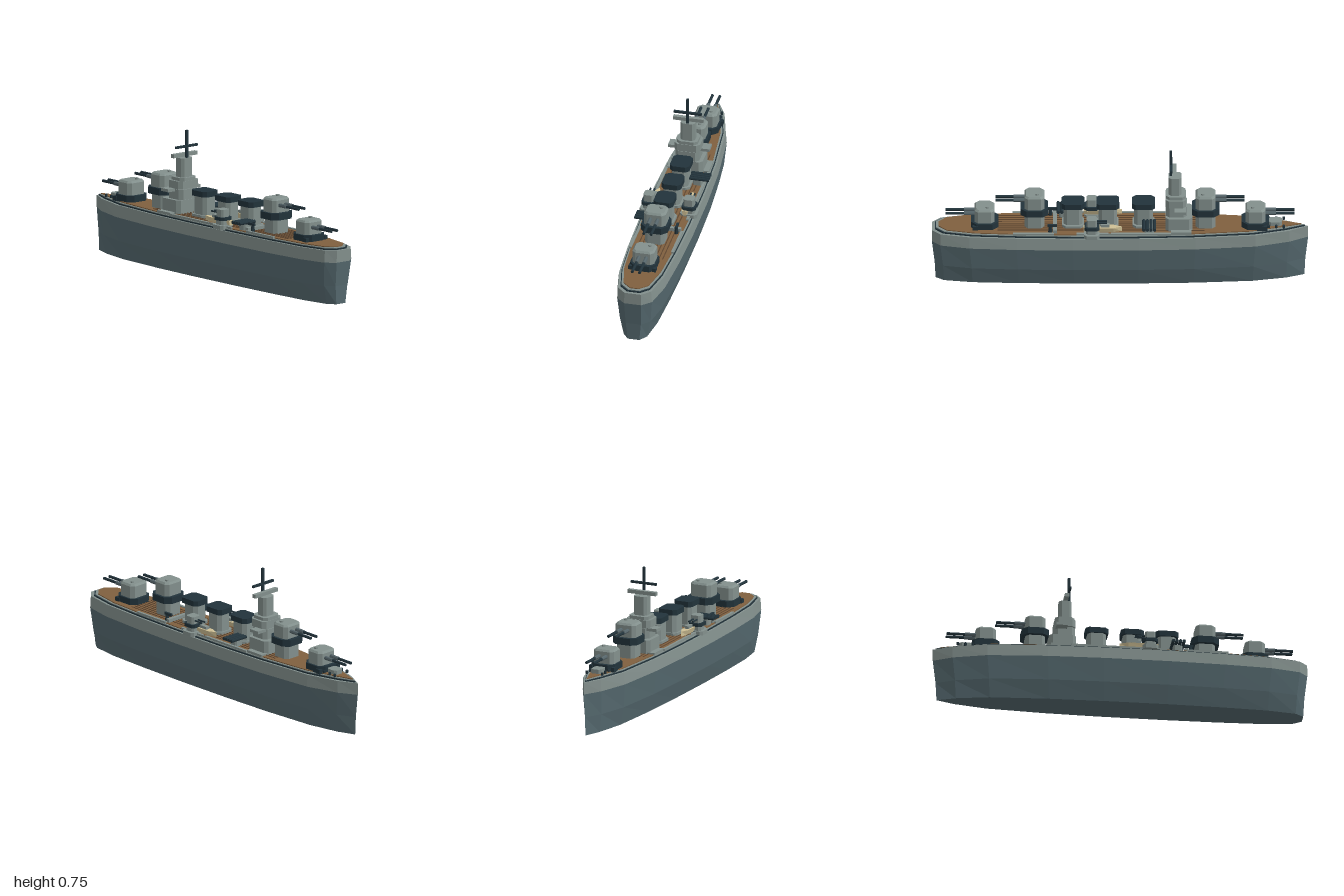
import * as THREE from 'three';

const mat = (name, color) => {
  const m = new THREE.MeshStandardMaterial({ color, flatShading: true });
  m.name = name;
  return m;
};

// Flat-shaded solid through stacked rings of [x, z] points (clockwise from above)
function loft(levels) {
  const pos = [];
  const put = (l, i) => pos.push(l.ring[i][0], l.y, l.ring[i][1]);
  const n = levels[0].ring.length;
  for (let k = 0; k + 1 < levels.length; k++) {
    const lo = levels[k], up = levels[k + 1];
    for (let i = 0; i < n; i++) {
      const j = (i + 1) % n;
      put(lo, i); put(up, i); put(up, j);
      put(lo, i); put(up, j); put(lo, j);
    }
  }
  const bottom = levels[0], top = levels[levels.length - 1];
  for (let i = 1; i + 1 < n; i++) {
    put(bottom, 0); put(bottom, i); put(bottom, i + 1);
    put(top, 0); put(top, i + 1); put(top, i);
  }
  const g = new THREE.BufferGeometry();
  g.setAttribute('position', new THREE.Float32BufferAttribute(pos, 3));
  g.computeVertexNormals();
  return g;
}

// Half outline of the hull from bow to stern
const OUTLINE = [[0, -1], [0.055, -0.9], [0.107, -0.72], [0.137, -0.4], [0.148, -0.1],
  [0.15, 0.25], [0.143, 0.55], [0.128, 0.8], [0.095, 0.955], [0.047, 1]];

function hullRing(sx, sz, inset = 0) {
  const side = OUTLINE.map(([x, z]) => [Math.max(x * sx - inset, 0), z * sz]);
  const mirror = side.slice(1).reverse().map(([x, z]) => [-x, z]);
  return [...side, ...mirror];
}

// Rectangle with cut corners, half sizes w and d
const octagon = (w, d, c) => [[w, c - d], [w, d - c], [w - c, d], [c - w, d],
  [-w, d - c], [-w, c - d], [c - w, -d], [w - c, -d]];

export function createModel() {
  const ship = new THREE.Group();
  ship.name = 'warship';
  const grey = mat('light grey', 0x83908d);
  const slate = mat('hull slate', 0x566a70);
  const dark = mat('dark navy', 0x22333b);
  const wood = mat('deck wood', 0x80603f);
  const plank = mat('plank seam', 0x5f4630);
  const gun = mat('gun steel', 0x56656a);
  const cream = mat('boat cream', 0xcfc095);

  const add = (parent, name, geo, material, x = 0, y = 0, z = 0) => {
    const m = new THREE.Mesh(geo, material);
    m.name = name;
    m.position.set(x, y, z);
    parent.add(m);
    return m;
  };
  const box = (parent, name, material, w, h, d, x, y, z) =>
    add(parent, name, new THREE.BoxGeometry(w, h, d), material, x, y, z);
  // Cut-corner block between heights y0 and y1, given half sizes
  const block = (parent, name, material, w, d, y0, y1, x = 0, z = 0, c = 0.018) =>
    add(parent, name, loft([{ y: y0, ring: octagon(w, d, c) }, { y: y1, ring: octagon(w, d, c) }]),
      material, x, 0, z);
  const group = (name, x = 0, y = 0, z = 0) => {
    const g = new THREE.Group();
    g.name = name;
    g.position.set(x, y, z);
    ship.add(g);
    return g;
  };

  // Hull, stepped edge and deck
  add(ship, 'lowerHull', loft([
    { y: 0, ring: hullRing(0.67, 0.98) },
    { y: 0.1, ring: hullRing(0.88, 0.985) },
    { y: 0.23, ring: hullRing(1, 1) }]), slate);
  add(ship, 'upperHull', loft([
    { y: 0.23, ring: hullRing(1, 1) },
    { y: 0.295, ring: hullRing(0.95, 1) }]), grey);
  const step = (name, m, y0, y1, inset) => {
    const ring = hullRing(0.95, 1 - inset * 1.6, inset);
    add(ship, name, loft([{ y: y0, ring }, { y: y1, ring }]), m);
  };
  step('deckEdge', dark, 0.29, 0.302, 0.01);
  step('waterway', grey, 0.295, 0.306, 0.014);
  step('deck', wood, 0.3, 0.311, 0.022);
  for (let i = -4; i <= 4; i++) {
    box(ship, 'plankSeam', plank, 0.005, 0.003, 1.1, i * 0.02, 0.312, 0.1);
  }
  for (const s of [-1, 1]) {
    box(ship, 'sideWalkway', grey, 0.014, 0.012, 0.5, s * 0.115, 0.311, -0.02);
    box(ship, 'aftWalkway', grey, 0.014, 0.012, 0.22, s * 0.115, 0.311, 0.46);
  }
  box(ship, 'crossWalkway', grey, 0.22, 0.02, 0.02, 0, 0.32, 0.345);

  // Main twin-gun turrets, dir = +1 aims astern, -1 aims ahead
  const turret = (z, dir, raised) => {
    const g = group(raised ? 'raisedTurret' : 'lowTurret', 0, raised ? 0.425 : 0.345, z);
    if (raised) {
      block(g, 'barbette', grey, 0.053, 0.053, -0.12, -0.03);
      block(g, 'turretRing', dark, 0.073, 0.073, -0.037, 0, 0, 0, 0.03);
    } else {
      block(g, 'turretRing', dark, 0.07, 0.073, -0.04, 0, 0, 0, 0.03);
      for (const s of [-1, 1]) box(g, 'locker', dark, 0.02, 0.025, 0.03, s * 0.065, -0.025, dir * 0.05);
    }
    add(g, 'gunHouse', loft([
      { y: 0, ring: octagon(0.06, 0.053, 0.018) },
      { y: 0.066, ring: octagon(0.06, 0.053, 0.018) },
      { y: 0.076, ring: octagon(0.051, 0.044, 0.015) }]), grey);
    add(g, 'hatch', new THREE.CylinderGeometry(0.01, 0.01, 0.01, 8), grey, 0.025, 0.079, -dir * 0.015);
    for (const s of [-1, 1]) {
      const barrel = add(g, 'barrel', new THREE.CylinderGeometry(0.008, 0.008, 0.17, 8), dark, s * 0.02, 0.04, dir * 0.122);
      barrel.rotation.x = Math.PI / 2;
      const sleeve = add(g, 'barrelSleeve', new THREE.CylinderGeometry(0.011, 0.011, 0.07, 8), gun, s * 0.02, 0.04, dir * 0.075);
      sleeve.rotation.x = Math.PI / 2;
    }
  };
  turret(0.72, 1, false);
  turret(0.455, 1, true);
  turret(-0.455, -1, true);
  turret(-0.72, -1, false);

  // Three funnels with dark caps
  for (const z of [-0.125, 0.065, 0.25]) {
    const g = group('funnel', 0, 0, z);
    block(g, 'funnelBase', grey, 0.055, 0.058, 0.305, 0.325);
    block(g, 'funnelBody', grey, 0.044, 0.05, 0.32, 0.43);
    block(g, 'funnelCap', dark, 0.053, 0.061, 0.423, 0.453);
  }

  // Bridge tower, layered upwards
  const bridge = group('bridge');
  box(bridge, 'bridgeFoundation', grey, 0.23, 0.014, 0.11, 0, 0.313, -0.325);
  block(bridge, 'bridgeBase', grey, 0.085, 0.072, 0.31, 0.385, 0, -0.313);
  block(bridge, 'bridgeMiddle', grey, 0.065, 0.056, 0.385, 0.44, 0, -0.3);
  box(bridge, 'bridgeWing', grey, 0.226, 0.016, 0.06, 0, 0.436, -0.32);
  block(bridge, 'bridgeUpper', grey, 0.07, 0.055, 0.443, 0.485, 0, -0.297);
  block(bridge, 'bridgeRoof', grey, 0.056, 0.052, 0.485, 0.502, 0, -0.297);
  block(bridge, 'tower', grey, 0.039, 0.034, 0.5, 0.605, 0, -0.293, 0.014);
  box(bridge, 'rangefinder', grey, 0.166, 0.02, 0.022, 0, 0.62, -0.29);
  box(bridge, 'mast', dark, 0.013, 0.155, 0.013, 0, 0.677, -0.27);
  box(bridge, 'yard', dark, 0.152, 0.012, 0.012, 0, 0.667, -0.272);

  // Torpedo tube banks, one on each side
  for (const [s, z] of [[1, -0.155], [-1, 0.3]]) {
    const g = group('torpedoTubes', s * 0.095, 0, z);
    block(g, 'tubeMount', grey, 0.025, 0.025, 0.305, 0.345, -s * 0.01, 0, 0.008);
    for (let i = 0; i < 4; i++) {
      const tube = add(g, 'tube', new THREE.CylinderGeometry(0.009, 0.009, 0.108, 8), dark, 0, 0.354, (i - 1.5) * 0.019);
      tube.rotation.z = Math.PI / 2;
    }
  }

  // Secondary guns and ship's boats
  const hullShape = k => [[0, -0.105], [0.02 * k, -0.06], [0.022 * k, 0.08], [0.014 * k, 0.1],
    [-0.014 * k, 0.1], [-0.022 * k, 0.08], [-0.02 * k, -0.06]];
  for (const s of [-1, 1]) {
    const g = group('secondaryGun', s * 0.11, 0, 0.15);
    block(g, 'sponson', grey, 0.046, 0.042, 0.3, 0.322, 0, 0, 0.014);
    block(g, 'gunPedestal', grey, 0.03, 0.03, 0.322, 0.346, 0, 0, 0.01);
    block(g, 'gunRing', dark, 0.038, 0.04, 0.346, 0.364, 0, 0, 0.014);
    block(g, 'gunShield', grey, 0.028, 0.028, 0.364, 0.404, 0, 0, 0.009);
    for (const t of [-1, 1]) {
      const b = add(g, 'smallBarrel', new THREE.CylinderGeometry(0.005, 0.005, 0.07, 6), dark, t * 0.011, 0.383, -0.045);
      b.rotation.x = Math.PI / 2;
    }
    const boat = group('boat', s * 0.092, 0, 0.095);
    add(boat, 'boatHull', loft([
      { y: 0.318, ring: hullShape(0.6) }, { y: 0.345, ring: hullShape(1) }]), cream);
    box(boat, 'boatCabin', grey, 0.024, 0.016, 0.05, 0, 0.352, -0.015);
    box(boat, 'boatCradle', wood, 0.05, 0.01, 0.012, 0, 0.315, -0.04);

    // Light guns and mooring fittings
    add(ship, 'lightGunPost', new THREE.CylinderGeometry(0.008, 0.012, 0.035, 6), dark, s * 0.09, 0.327, 0.37);
    box(ship, 'lightGun', dark, 0.012, 0.014, 0.05, s * 0.09, 0.35, 0.36);
    for (const z of [-0.87, -0.83, -0.79]) {
      add(ship, 'bollard', new THREE.CylinderGeometry(0.007, 0.007, 0.016, 6), dark, s * 0.045, 0.317, z);
    }
  }
  // Windlass housing on the bow
  block(ship, 'windlassHousing', grey, 0.03, 0.035, 0.308, 0.334, 0, -0.825, 0.012);

  return ship;
}
